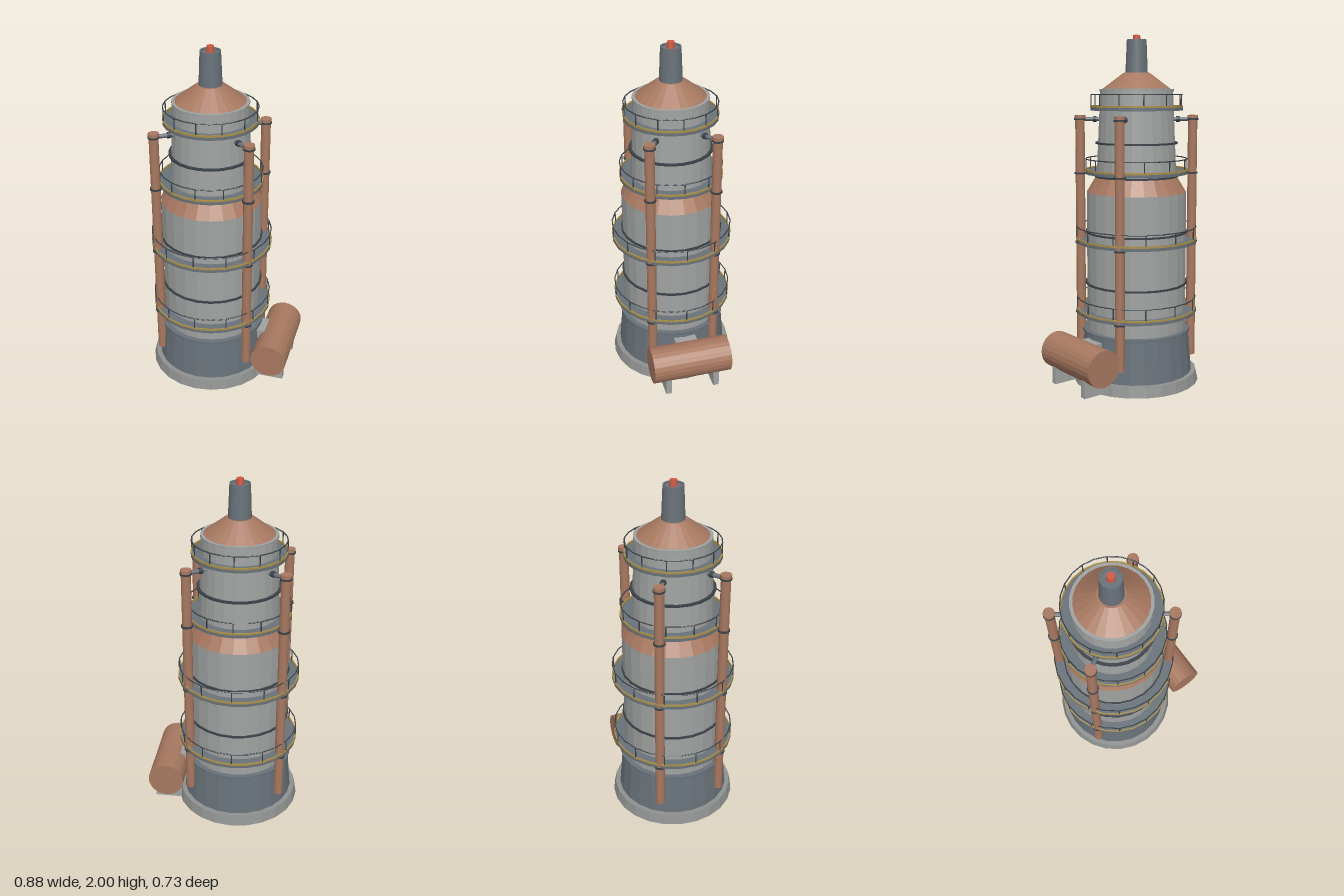
import * as THREE from 'three';

const SIDES = 24;
const AXIS_X = -0.075; // the tower stands off-centre, the tank balances it

export function createModel() {
  const mat = (name, color) => {
    const m = new THREE.MeshStandardMaterial({ color, flatShading: true });
    m.name = name;
    return m;
  };
  const concrete = mat('concrete', 0x8f9290);
  const steel = mat('paleSteel', 0xa0a3a1);
  const slate = mat('slate', 0x69727a);
  const copper = mat('copper', 0xa77860);
  const dark = mat('darkMetal', 0x3a4148);
  const yellow = mat('safetyYellow', 0xa88f4c);
  const red = mat('beaconRed', 0xcf5a45);

  const model = new THREE.Group();
  model.name = 'processTower';
  const tower = new THREE.Group();
  tower.name = 'tower';
  tower.position.x = AXIS_X;
  model.add(tower);

  const add = (parent, name, geo, material, x = 0, y = 0, z = 0) => {
    const mesh = new THREE.Mesh(geo, material);
    mesh.name = name;
    mesh.position.set(x, y, z);
    parent.add(mesh);
    return mesh;
  };
  // Upright cylinder or cone between two heights
  const drum = (parent, name, material, r0, r1, y0, y1, x = 0, z = 0, sides = SIDES) =>
    add(parent, name, new THREE.CylinderGeometry(r1, r0, y1 - y0, sides), material, x, (y0 + y1) / 2, z);
  // Closed ring with a rectangular section
  const ring = (parent, name, material, rIn, rOut, y0, y1) => {
    const pts = [[rIn, y0], [rOut, y0], [rOut, y1], [rIn, y1], [rIn, y0]];
    return add(parent, name, new THREE.LatheGeometry(pts.map(p => new THREE.Vector2(...p)), SIDES), material);
  };

  // Foundation and tower shells
  drum(tower, 'foundation', concrete, 0.367, 0.354, 0, 0.06);
  drum(tower, 'plinth', slate, 0.327, 0.306, 0.06, 0.3);
  drum(tower, 'plinthFlange', slate, 0.316, 0.316, 0.3, 0.317);
  drum(tower, 'lowerShell', steel, 0.288, 0.288, 0.317, 1.115);
  drum(tower, 'shoulder', copper, 0.288, 0.23, 1.115, 1.21);
  drum(tower, 'upperShell', steel, 0.23, 0.208, 1.21, 1.685);
  drum(tower, 'topFlange', steel, 0.212, 0.212, 1.685, 1.7);
  drum(tower, 'roofCone', copper, 0.195, 0.075, 1.7, 1.79);

  // Stack with an open mouth and a beacon
  const stack = [[0.064, 1.785], [0.056, 1.975], [0.048, 1.975], [0.048, 1.965], [0, 1.965]];
  add(tower, 'stack', new THREE.LatheGeometry(stack.map(p => new THREE.Vector2(...p)), SIDES), slate);
  drum(tower, 'beacon', red, 0.022, 0.02, 1.965, 2, 0, 0, 12);

  // Stiffening bands
  for (const [y, r] of [[0.585, 0.298], [0.885, 0.296], [1.395, 0.237], [1.205, 0.24]]) {
    ring(tower, 'band', dark, r - 0.03, r, y - 0.005, y + 0.005);
  }

  // Walkways with toe boards and railings
  const walkway = (y, r, shellR, railY) => {
    const g = new THREE.Group();
    g.name = 'walkway';
    tower.add(g);
    ring(g, 'deck', slate, shellR - 0.02, r, y - 0.013, y + 0.004);
    ring(g, 'toeBoard', yellow, r - 0.006, r + 0.001, y + 0.004, y + 0.015);
    const rail = new THREE.TorusGeometry(r - 0.004, 0.0035, 5, SIDES).rotateX(Math.PI / 2);
    add(g, 'handrail', rail, dark, 0, railY, 0);
    const posts = 12;
    for (let i = 0; i < posts; i++) {
      const a = (i / posts) * Math.PI * 2;
      drum(g, 'railPost', dark, 0.0035, 0.0035, y, railY,
        Math.cos(a) * (r - 0.004), Math.sin(a) * (r - 0.004), 5);
    }
  };
  walkway(0.423, 0.351, 0.288, 0.5);
  walkway(0.838, 0.351, 0.288, 0.914);
  walkway(1.232, 0.295, 0.228, 1.305);
  walkway(1.592, 0.264, 0.212, 1.668);

  // Four downcomer pipes, each tied to the upper shell
  for (const sx of [1, -1]) {
    for (const sz of [1, -1]) {
      const pipe = new THREE.Group();
      pipe.name = 'downcomer';
      pipe.position.set(sx * 0.264, 0, sz * 0.186);
      pipe.rotation.y = -Math.atan2(sz * 0.186, sx * 0.264); // local +x points outward
      tower.add(pipe);
      drum(pipe, 'pipe', copper, 0.027, 0.027, 0.137, 1.535, 0, 0, 16);
      drum(pipe, 'pipeCap', copper, 0.031, 0.031, 1.535, 1.553, 0, 0, 16);
      for (const y of [0.405, 0.82, 1.222, 1.53]) {
        drum(pipe, 'pipeClamp', dark, 0.033, 0.033, y - 0.005, y + 0.005, 0, 0, 16);
      }
      const branch = new THREE.CylinderGeometry(0.012, 0.012, 0.13, 12).rotateZ(Math.PI / 2);
      add(pipe, 'branchPipe', branch, slate, -0.065, 1.53, 0);
      const flange = new THREE.CylinderGeometry(0.017, 0.017, 0.02, 12).rotateZ(Math.PI / 2);
      add(pipe, 'branchFlange', flange, dark, -0.085, 1.53, 0);
    }
  }

  // Side tank with saddles and a duct to the plinth
  const tank = new THREE.CylinderGeometry(0.105, 0.105, 0.466, SIDES).rotateX(Math.PI / 2);
  add(model, 'sideTank', tank, copper, 0.335, 0.193, 0);
  for (const z of [0.145, -0.145]) {
    add(model, 'tankSaddle', new THREE.BoxGeometry(0.16, 0.14, 0.034), steel, 0.333, 0.092, z);
  }
  add(model, 'tankDuct', new THREE.BoxGeometry(0.13, 0.17, 0.13), steel, 0.26, 0.192, 0);

  return model;
}
